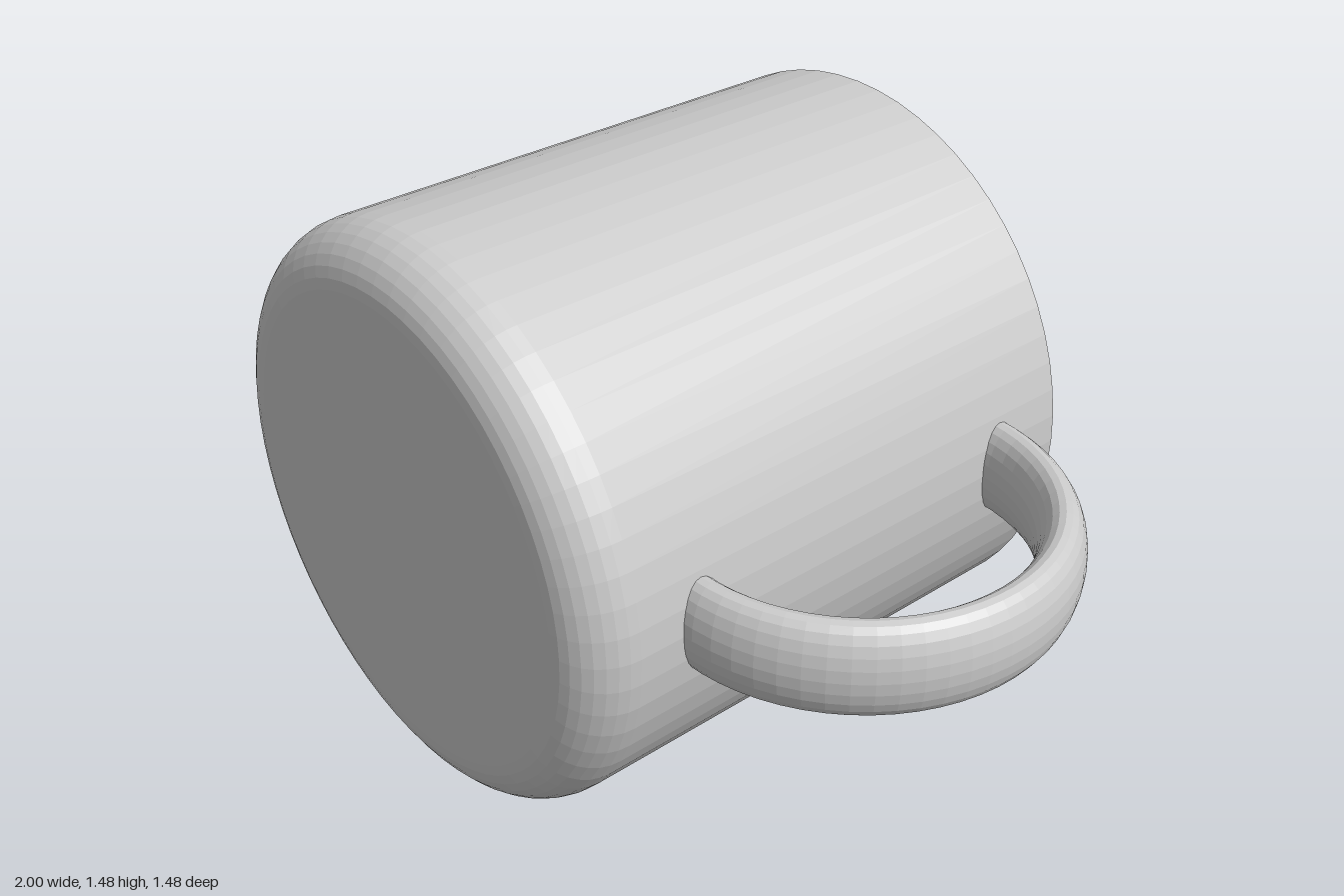
import * as THREE from 'three';

const R = 0.742;      // outer radius, also half the length
const WALL = 0.06;
const FILLET = 0.14;

// Quarter-round from the flat end cap to the side wall.
function corner(radius, end, r, steps = 8) {
  return Array.from({ length: steps + 1 }, (_, i) => {
    const a = (i / steps) * Math.PI / 2;
    return new THREE.Vector2(radius - r + r * Math.sin(a), end + r - r * Math.cos(a));
  });
}

export function createModel() {
  const group = new THREE.Group();
  group.name = 'mug';
  const material = new THREE.MeshStandardMaterial({ color: 0xcccccc, flatShading: true });

  // Cup: closed profile from the outer base, over the rim, to the inner floor
  const profile = [
    new THREE.Vector2(0, -R),
    ...corner(R, -R, FILLET),
    new THREE.Vector2(R, R),
    new THREE.Vector2(R - WALL, R),
    ...corner(R - WALL, -R + WALL, FILLET - WALL).reverse(),
    new THREE.Vector2(0, -R + WALL),
  ];
  const cup = new THREE.Mesh(new THREE.LatheGeometry(profile, 64), material);
  cup.name = 'cup';
  cup.rotation.x = -Math.PI / 2; // lying down, base to the front, mouth to the back
  cup.position.set(R - 1, R, 0);
  group.add(cup);

  // Handle: half ring with a flattened oval section, ends sunk into the wall
  const ring = new THREE.TorusGeometry(0.485, 0.06, 24, 32, Math.PI);
  ring.rotateZ(-Math.PI / 2);
  ring.scale(1, 1, 0.125 / 0.06);
  ring.rotateX(Math.PI / 2);
  const handle = new THREE.Mesh(ring, material);
  handle.name = 'handle';
  handle.position.set(0.455, R + 0.003, -0.06);
  group.add(handle);

  return group;
}
